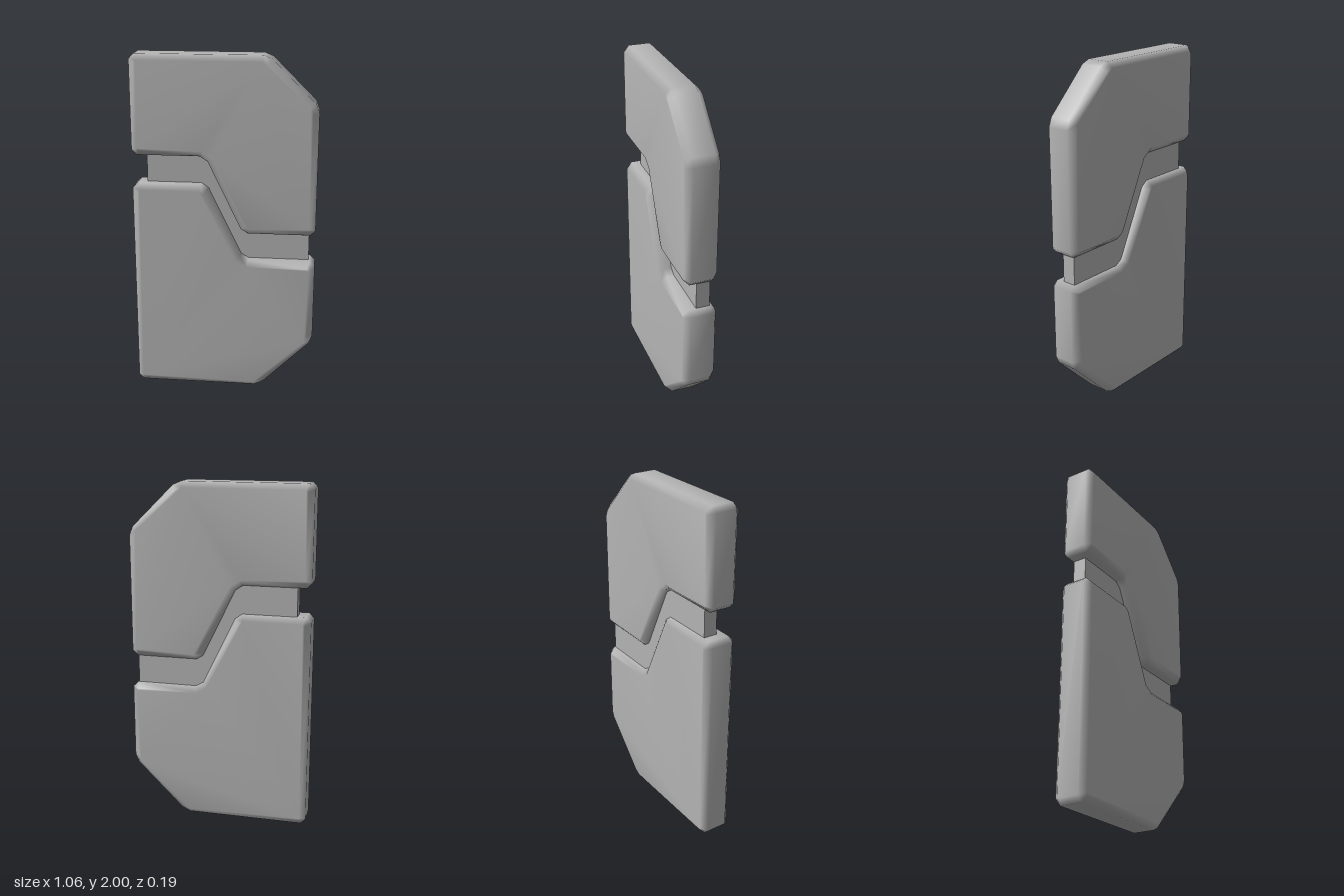
import * as THREE from 'three';
import { mergeVertices } from 'three/addons/utils/BufferGeometryUtils.js';

const HALF_DEPTH = 0.096, BEVEL = 0.033;

// Bevelled slab from its outer outline; shared vertices give soft, area-weighted edges.
function slab(name, outline, material) {
  const shape = new THREE.Shape(outline.map(([x, y]) => new THREE.Vector2(x, y)));
  const extruded = new THREE.ExtrudeGeometry(shape, {
    depth: 2 * (HALF_DEPTH - BEVEL), bevelEnabled: true, bevelSegments: 1,
    bevelThickness: BEVEL, bevelSize: BEVEL, bevelOffset: -BEVEL,
  });
  extruded.translate(0, 0, BEVEL - HALF_DEPTH);
  extruded.deleteAttribute('normal');
  extruded.deleteAttribute('uv');
  const geometry = mergeVertices(extruded, 1e-4);
  geometry.computeVertexNormals();
  const mesh = new THREE.Mesh(geometry, material);
  mesh.name = name;
  return mesh;
}

export function createModel() {
  const group = new THREE.Group();
  group.name = 'splitPlate';
  const grey = new THREE.MeshStandardMaterial({ color: 0xb4b4b4 });
  grey.name = 'plain grey';

  // Upper slab, clipped at its top corner and stepped underneath
  group.add(slab('upperPlate', [
    [-0.53, 1.46], [-0.5, 1.43], [-0.14, 1.43], [-0.095, 1.4],
    [0.095, 1.005], [0.135, 0.98], [0.495, 0.98], [0.525, 1.01],
    [0.525, 1.69], [0.505, 1.74], [0.262, 1.98], [0.212, 2],
    [-0.5, 2], [-0.53, 1.97],
  ], grey));

  // Lower slab, clipped at its bottom corner and stepped on top
  group.add(slab('lowerPlate', [
    [-0.53, 0.03], [-0.5, 0], [0.185, 0], [0.235, 0.025],
    [0.507, 0.297], [0.527, 0.347], [0.527, 0.785], [0.497, 0.815],
    [0.14, 0.815], [0.095, 0.84], [-0.095, 1.235], [-0.135, 1.264],
    [-0.5, 1.264], [-0.53, 1.234],
  ], grey));

  // Recessed core joining the two slabs across the gap
  const core = new THREE.Mesh(new THREE.BoxGeometry(0.94, 0.8, 0.08), grey);
  core.name = 'core';
  core.position.set(0.02, 1.12, -0.02);
  group.add(core);

  return group;
}
